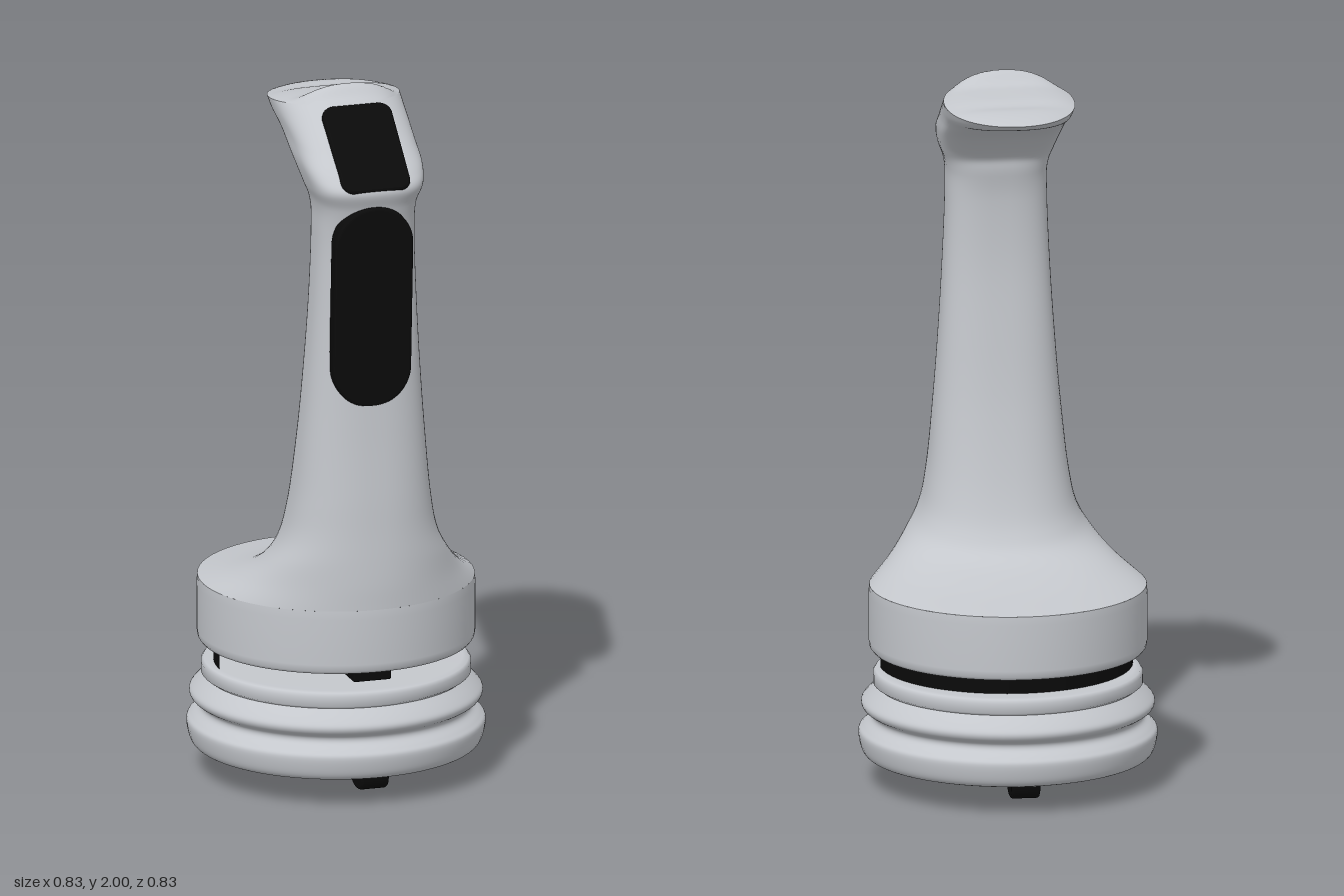
import * as THREE from 'three';
import { RoundedBoxGeometry } from 'three/addons/geometries/RoundedBoxGeometry.js';

const shell = new THREE.MeshStandardMaterial({ color: 0xc4c7cc });
shell.name = 'light grey shell';
const rubber = new THREE.MeshStandardMaterial({ color: 0x0a0a0a });
rubber.name = 'black rubber';

const SEG = 64;
const spow = (v, p) => Math.sign(v) * Math.pow(Math.abs(v), p);
const v2 = (pts) => pts.map(([x, y]) => new THREE.Vector2(x, y));

// Closed rings stacked into one smooth skin; pointAt(i, angle) gives each vertex
function skin(rings, pointAt) {
  const pos = [], idx = [];
  for (let i = 0; i < rings; i++)
    for (let j = 0; j < SEG; j++) pos.push(...pointAt(i, (j / SEG) * Math.PI * 2));
  for (let i = 0; i < rings - 1; i++)
    for (let j = 0; j < SEG; j++) {
      const k = (j + 1) % SEG;
      const a = i * SEG + j, b = i * SEG + k, c = a + SEG, d = b + SEG;
      idx.push(a, b, d, a, d, c);
    }
  const g = new THREE.BufferGeometry();
  g.setAttribute('position', new THREE.Float32BufferAttribute(pos, 3));
  g.setIndex(idx);
  g.computeVertexNormals();
  return g;
}

// Stations up the handle: front z, front y, back z, back y, half width, squareness
const stations = [
  [0.383, 0.565, -0.383, 0.565, 0.383, 2],
  [0.383, 0.63, -0.2, 0.598, 0.315, 2.05],
  [0.38, 0.7, -0.06, 0.64, 0.262, 2.15],
  [0.375, 0.78, 0.0, 0.7, 0.22, 2.3],
  [0.37, 0.87, 0.038, 0.8, 0.198, 2.4],
  [0.358, 1.05, 0.085, 1.02, 0.176, 2.5],
  [0.348, 1.25, 0.115, 1.25, 0.159, 2.6],
  [0.343, 1.45, 0.132, 1.45, 0.147, 2.7],
  [0.35, 1.62, 0.13, 1.62, 0.14, 2.8],
  [0.368, 1.71, 0.118, 1.7, 0.141, 2.9],
  [0.383, 1.765, 0.098, 1.76, 0.158, 3.2],
  [0.355, 1.8, 0.03, 1.82, 0.168, 3.3],
  [0.28, 1.863, -0.07, 1.868, 0.17, 3.1],
  [0.205, 1.93, -0.18, 1.898, 0.177, 2.4],
  [0.165, 1.96, -0.215, 1.917, 0.181, 2.1],
];
const frontCurve = new THREE.CatmullRomCurve3(stations.map((s) => new THREE.Vector3(s[4], s[1], s[0])));
const backCurve = new THREE.CatmullRomCurve3(stations.map((s) => new THREE.Vector3(s[5], s[3], s[2])));

function sectionPoint(t, a, scale = 1) {
  const f = frontCurve.getPoint(t), b = backCurve.getPoint(t);
  const p = 2 / b.x;
  const m = 0.5 + 0.5 * scale * spow(Math.cos(a), p);
  return [scale * f.x * spow(Math.sin(a), p), b.y + (f.y - b.y) * m, b.z + (f.z - b.z) * m];
}

// Thumb rest: a shallow raised pad with a ridge at its front
function thumbRestPoint(r, a) {
  const [x, y, z] = sectionPoint(1, a, r);
  const ridge = 0.042 * Math.exp(-(((z - 0.105) / 0.032) ** 2));
  const scoop = -0.006 * Math.exp(-(((z + 0.09) / 0.03) ** 2));
  return [x, y + (0.018 + ridge + scoop) * (1 - r ** 4), z];
}

// Rounded rectangle plate facing +z with its outer face at z = 0
function plate(w, h, r, depth) {
  const b = 0.008, x = w / 2 - b, y = h / 2 - b, q = r - b, s = new THREE.Shape();
  s.absarc(x - q, y - q, q, 0, Math.PI / 2);
  s.absarc(-x + q, y - q, q, Math.PI / 2, Math.PI);
  s.absarc(-x + q, -y + q, q, Math.PI, Math.PI * 1.5);
  s.absarc(x - q, -y + q, q, Math.PI * 1.5, Math.PI * 2);
  return new THREE.ExtrudeGeometry(s, {
    depth, bevelSize: b, bevelThickness: b, bevelSegments: 3, curveSegments: 16,
  }).translate(0, 0, -depth - b);
}

// Foot with a rounded underside, its profile running along x
function foot(halfDepth, height, width) {
  const b = 0.008, pts = [];
  for (let i = 0; i <= 24; i++) {
    const a = Math.PI + (i / 24) * Math.PI;
    pts.push([(halfDepth - b) * spow(Math.cos(a), 0.8), (height - b) * spow(Math.sin(a), 0.8)]);
  }
  return new THREE.ExtrudeGeometry(new THREE.Shape(v2(pts)), {
    depth: width - 2 * b, bevelSize: b, bevelThickness: b, bevelSegments: 3,
  }).translate(0, 0, -width / 2 + b).rotateY(Math.PI / 2);
}

export function createModel() {
  const group = new THREE.Group();
  const add = (name, geometry, material, x = 0, y = 0, z = 0) => {
    const m = new THREE.Mesh(geometry, material);
    m.name = name;
    m.position.set(x, y, z);
    group.add(m);
    return m;
  };

  // Ribbed base
  const rib = new THREE.SplineCurve(v2([
    [0.375, 0.08], [0.395, 0.088], [0.407, 0.11], [0.413, 0.15], [0.4, 0.167], [0.378, 0.185],
    [0.378, 0.202], [0.4, 0.218], [0.405, 0.236], [0.39, 0.255], [0.362, 0.28],
  ])).getPoints(50);
  add('ribbedBase', new THREE.LatheGeometry(rib, 72), shell);
  add('baseUnderside', new THREE.CircleGeometry(0.376, 72).rotateX(Math.PI / 2), shell, 0, 0.08);
  add('baseCollar', new THREE.LatheGeometry(v2([
    [0.362, 0.28], [0.373, 0.288], [0.373, 0.315], [0.366, 0.325], [0.35, 0.328], [0, 0.328],
  ]), 72), shell);

  // Gap between base and body
  add('centrePost', new THREE.CylinderGeometry(0.185, 0.185, 0.08, 48), shell, 0, 0.355);
  add('rearSpacer', new THREE.CylinderGeometry(0.35, 0.35, 0.056, 48, 1, false, Math.PI / 2, Math.PI),
    rubber, 0, 0.357, 0.04);
  add('frontStop', new RoundedBoxGeometry(0.11, 0.05, 0.1, 2, 0.006), rubber, 0, 0.37, 0.28);

  // Body drum
  add('bodyDrum', new THREE.LatheGeometry(v2([
    [0, 0.385], [0.365, 0.382], [0.376, 0.384], [0.382, 0.392], [0.385, 0.41], [0.385, 0.54], [0.383, 0.565],
  ]), 72), shell);

  // Shoulder, handle and head in one skin, closed by the thumb rest
  const rings = 113;
  add('handle', skin(rings, (i, a) => sectionPoint(i / (rings - 1), a)), shell);
  add('thumbRest', skin(33, (i, a) => thumbRestPoint(1 - i / 32, a)), shell);

  // Black panels on the front
  const grip = add('gripPad', plate(0.225, 0.58, 0.11, 0.035), rubber, -0.008, 1.43, 0.369);
  grip.rotation.x = 0.053;
  const panel = add('headPanel', plate(0.2, 0.285, 0.035, 0.03), rubber, 0, 1.868, 0.28);
  panel.rotation.x = -0.847;

  // Feet
  add('centreFoot', foot(0.103, 0.08, 0.17), rubber, 0, 0.081);
  for (const side of [1, -1])
    add(side > 0 ? 'frontFoot' : 'rearFoot', foot(0.055, 0.048, 0.08), rubber, 0, 0.081, side * 0.305);

  return group;
}
